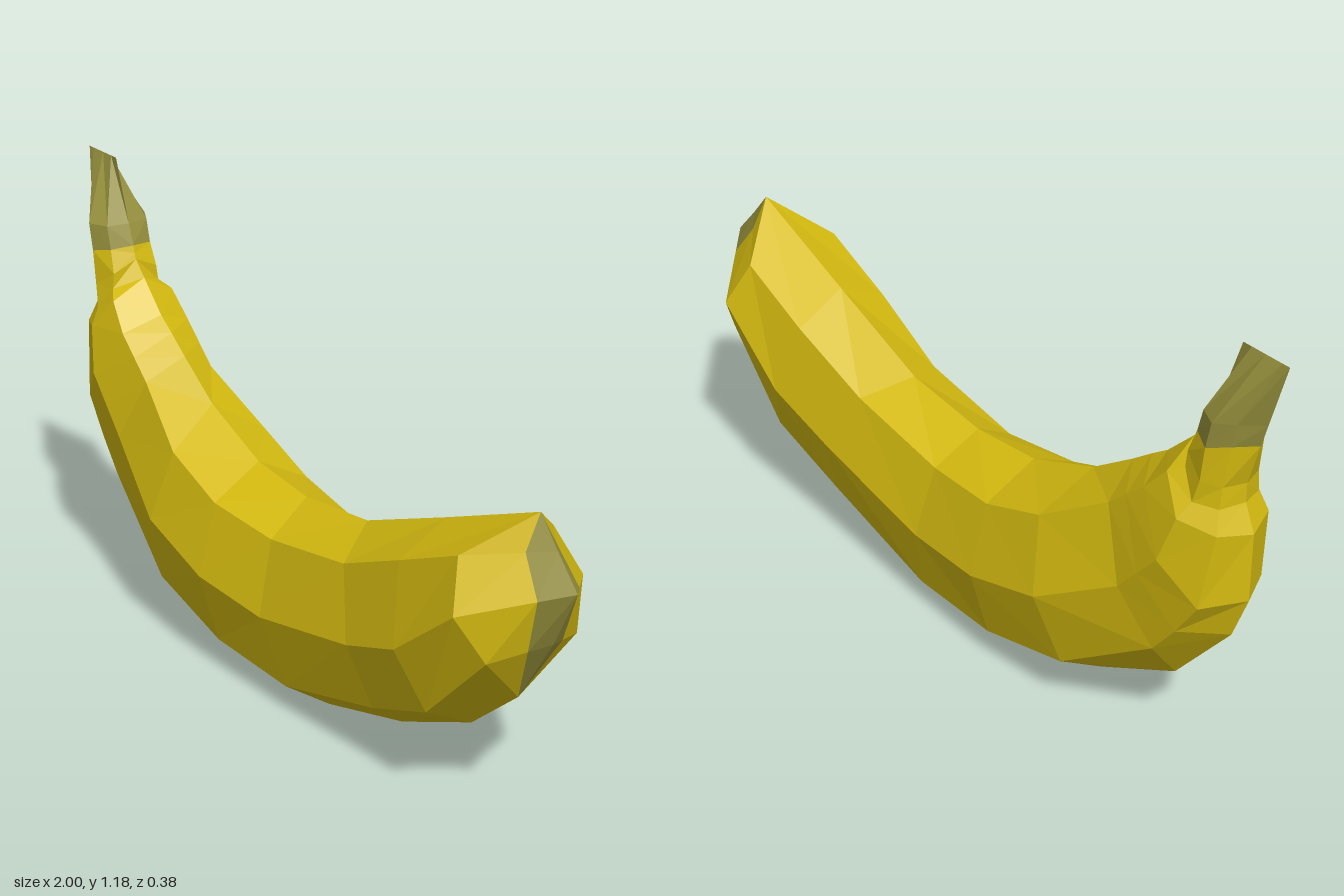
import * as THREE from 'three';

// Cross-section on five ridges: top, upper side, middle, lower side, bottom.
// The z = 0 ridges give x, y; the side ridges give x, y, half width.
const section = (tx, ty, ux, uy, uz, mx, my, mz, lx, ly, lz, bx, by) => [
  [tx, ty, 0], [ux, uy, uz], [mx, my, mz], [lx, ly, lz], [bx, by, 0],
].map((p) => new THREE.Vector3(...p));

// Skin consecutive sections and mirror them across z
function skin(name, sections, material) {
  const pos = [];
  const tri = (a, b, c) => {
    const area = b.clone().sub(a).cross(c.clone().sub(a)).length();
    if (area < 1e-6) return;
    for (const p of [a, b, c]) pos.push(p.x, p.y, p.z);
    for (const p of [a, c, b]) pos.push(p.x, p.y, -p.z);
  };
  for (let i = 0; i < sections.length - 1; i++) {
    for (let j = 0; j < 4; j++) {
      const a = sections[i][j], c = sections[i][j + 1];
      const b = sections[i + 1][j], d = sections[i + 1][j + 1];
      tri(a, c, b);
      tri(b, c, d);
    }
  }
  const geometry = new THREE.BufferGeometry();
  geometry.setAttribute('position', new THREE.Float32BufferAttribute(pos, 3));
  geometry.computeVertexNormals(); // unshared corners keep the facets flat
  const mesh = new THREE.Mesh(geometry, material);
  mesh.name = name;
  return mesh;
}

export function createModel() {
  const peel = new THREE.MeshStandardMaterial({ color: 0xd6bc10 });
  peel.name = 'yellowPeel';
  const dry = new THREE.MeshStandardMaterial({ color: 0x96903c });
  dry.name = 'dryOlive';

  // Stem, pinched to a ridge at its top
  const stem = [
    section(-0.865, 1.185, -0.89, 1.185, 0, -0.93, 1.185, 0, -0.98, 1.185, 0, -1, 1.185),
    section(-0.81, 1.02, -0.82, 1.02, 0.06, -0.87, 1.02, 0.085, -0.91, 1.02, 0.05, -0.953, 1.02),
    section(-0.79, 0.965, -0.805, 0.96, 0.06, -0.855, 0.95, 0.085, -0.9, 0.96, 0.05, -0.936, 0.96),
  ];
  const neck = section(-0.785, 0.945, -0.785, 0.9, 0.065, -0.845, 0.86, 0.085, -0.885, 0.85, 0.055, -0.905, 0.85);

  // Curved body, from the neck to the blunt end
  const body = [
    section(-0.78, 0.93, -0.785, 0.86, 0.07, -0.83, 0.8, 0.09, -0.885, 0.795, 0.06, -0.905, 0.8),
    section(-0.74, 0.89, -0.75, 0.84, 0.09, -0.815, 0.76, 0.12, -0.9, 0.74, 0.08, -0.935, 0.73),
    section(-0.66, 0.81, -0.69, 0.77, 0.1, -0.78, 0.64, 0.14, -0.875, 0.54, 0.1, -0.935, 0.55),
    section(-0.61, 0.775, -0.635, 0.72, 0.1, -0.72, 0.57, 0.14, -0.81, 0.44, 0.1, -0.89, 0.43),
    section(-0.55, 0.73, -0.58, 0.67, 0.1, -0.66, 0.5, 0.14, -0.74, 0.35, 0.1, -0.72, 0.22),
    section(-0.42, 0.64, -0.39, 0.55, 0.14, -0.43, 0.36, 0.19, -0.47, 0.165, 0.135, -0.47, 0.08),
    section(-0.21, 0.555, -0.2, 0.48, 0.14, -0.2, 0.29, 0.19, -0.2, 0.095, 0.135, -0.15, 0.005),
    section(0, 0.535, 0.02, 0.46, 0.12, 0.04, 0.27, 0.17, 0.08, 0.08, 0.12, 0.1, 0),
    section(0.25, 0.567, 0.32, 0.515, 0.12, 0.4, 0.35, 0.17, 0.44, 0.185, 0.12, 0.4, 0.09),
    section(0.55, 0.69, 0.55, 0.62, 0.135, 0.6, 0.43, 0.185, 0.66, 0.28, 0.135, 0.66, 0.21),
    section(0.87, 0.825, 0.76, 0.715, 0.135, 0.81, 0.6, 0.185, 0.86, 0.49, 0.13, 0.82, 0.35),
  ];

  // Wedge-shaped end, with a dry strip along its edge
  const edge = section(0.87, 0.825, 0.93, 0.755, 0, 1, 0.68, 0, 0.93, 0.53, 0, 0.82, 0.35);
  const fade = [0, 0.68, 0.68, 0.62, 0];
  const border = body.at(-1).map((p, i) => p.clone().lerp(edge[i], fade[i]));

  const group = new THREE.Group();
  group.name = 'banana';
  group.add(
    skin('stem', stem, dry),
    skin('neck', [stem[2], neck, body[0]], peel),
    skin('body', body, peel),
    skin('endWedge', [body.at(-1), border], peel),
    skin('dryTip', [border, edge], dry),
  );
  return group;
}
